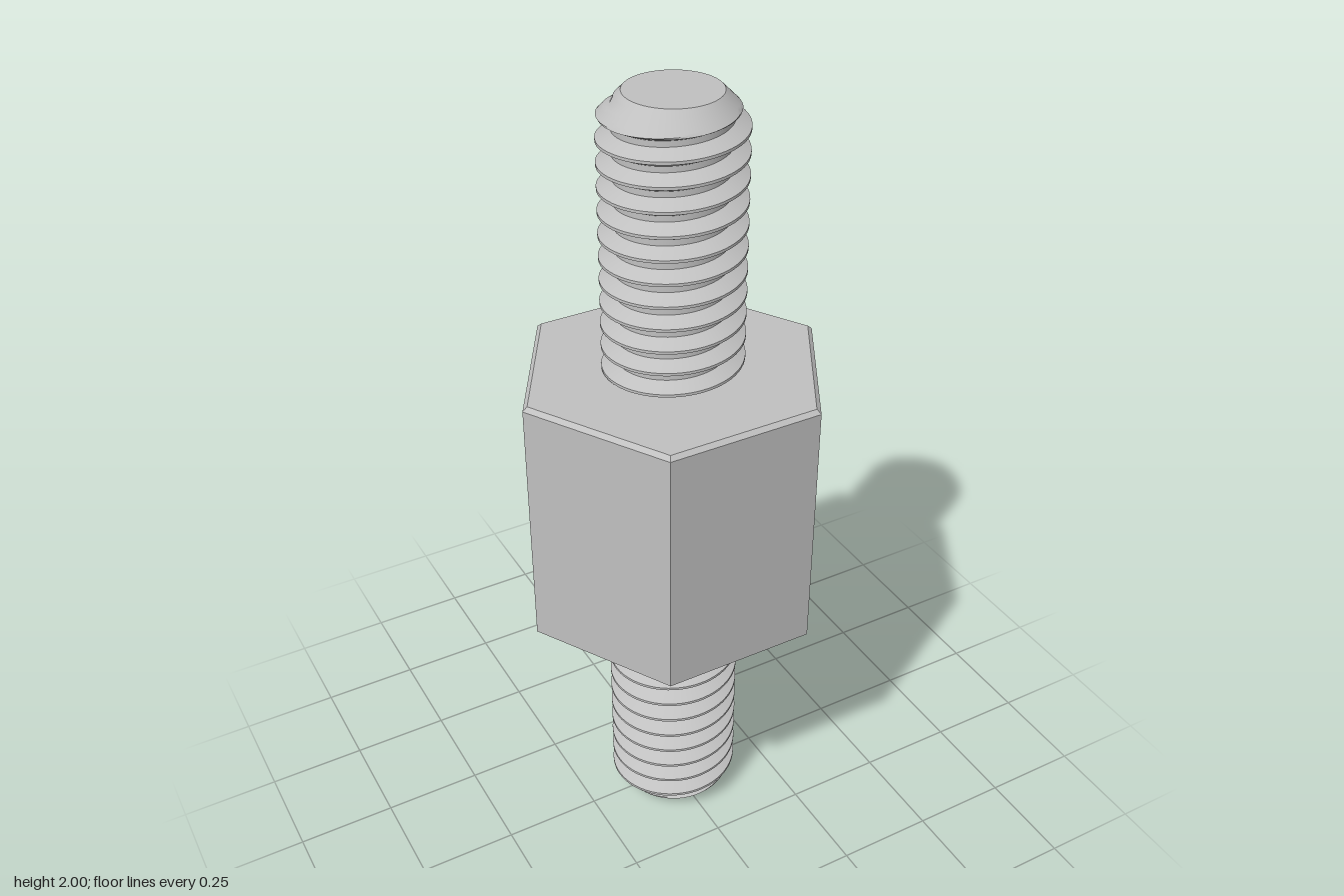
import * as THREE from 'three';
import { toCreasedNormals } from 'three/addons/utils/BufferGeometryUtils.js';

const PITCH = 1 / 18, MAJOR = 0.167, MINOR = 0.133, TIP = 0.11;
const PHASE = 1.912; // height of a crest at the +z side
const SEGMENTS = 64;

// One turn of the thread profile: [fraction of pitch, radius], flanks subdivided
function threadProfile() {
  const steps = 5, rows = [];
  for (let i = 0; i <= steps; i++) {
    rows.push([0.0625 + 0.3125 * i / steps, MAJOR + (MINOR - MAJOR) * i / steps]);
  }
  for (let i = 0; i <= steps; i++) {
    rows.push([0.625 + 0.3125 * i / steps, MINOR + (MAJOR - MINOR) * i / steps]);
  }
  return rows;
}

// Right-handed helical surface between two heights, chamfered towards its tip
function threadGeometry(yMin, yMax, tipY) {
  const rows = [];
  const first = Math.floor((yMin - PHASE) / PITCH) - 2;
  const last = Math.ceil((yMax - PHASE) / PITCH) + 1;
  for (let k = first; k <= last; k++) {
    for (const [f, r] of threadProfile()) rows.push([PHASE + (k + f) * PITCH, r]);
  }
  const point = (i, j) => {
    const t = (j / SEGMENTS) * Math.PI * 2;
    const y = THREE.MathUtils.clamp(rows[i][0] + PITCH * j / SEGMENTS, yMin, yMax);
    const r = Math.min(rows[i][1], TIP + Math.abs(tipY - y));
    return [r * Math.sin(t), y, r * Math.cos(t)];
  };
  const positions = [];
  const triangle = (a, b, c) => {
    if (a[1] === b[1] && b[1] === c[1]) return;
    positions.push(...a, ...b, ...c);
  };
  for (let i = 0; i < rows.length - 1; i++) {
    for (let j = 0; j < SEGMENTS; j++) {
      const a = point(i, j), b = point(i, j + 1);
      const c = point(i + 1, j + 1), d = point(i + 1, j);
      triangle(a, b, c);
      triangle(a, c, d);
    }
  }
  const geometry = new THREE.BufferGeometry();
  geometry.setAttribute('position', new THREE.Float32BufferAttribute(positions, 3));
  return toCreasedNormals(geometry, 0.6);
}

export function createModel() {
  const model = new THREE.Group();
  model.name = 'threadedStandoff';
  const steel = new THREE.MeshStandardMaterial({ color: 0xc0c0c0 });
  steel.name = 'steel';

  const add = (name, geometry) => {
    const mesh = new THREE.Mesh(geometry, steel);
    mesh.name = name;
    model.add(mesh);
    return mesh;
  };

  // Hexagonal body with chamfered rims, corners on the x axis
  const profile = [
    [0, 0.667], [0.373, 0.667], [0.385, 0.677],
    [0.385, 1.323], [0.373, 1.333], [0, 1.333],
  ].map(([r, y]) => new THREE.Vector2(r, y));
  const hex = new THREE.LatheGeometry(profile, 6, Math.PI / 6).toNonIndexed();
  hex.computeVertexNormals();
  add('hexBody', hex);

  // Threaded studs above and below the body
  add('upperThread', threadGeometry(1.32, 2, 2));
  add('lowerThread', threadGeometry(0, 0.68, 0));

  // Flat ends of the studs
  const upperEnd = add('upperEnd', new THREE.CircleGeometry(TIP, SEGMENTS));
  upperEnd.rotation.x = -Math.PI / 2;
  upperEnd.position.y = 2;
  const lowerEnd = add('lowerEnd', new THREE.CircleGeometry(TIP, SEGMENTS));
  lowerEnd.rotation.x = Math.PI / 2;

  return model;
}
